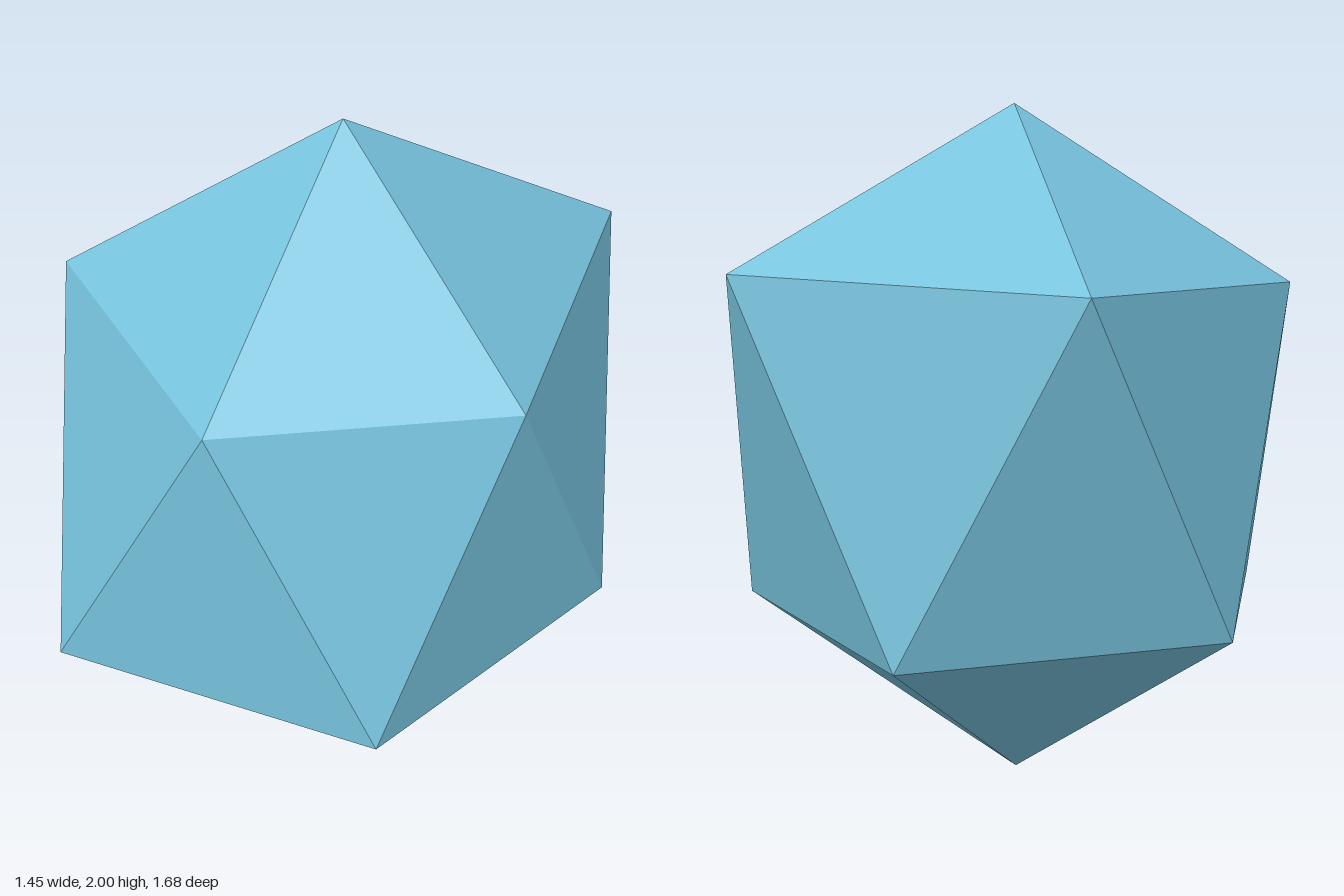
import * as THREE from 'three';

export function createModel() {
  const group = new THREE.Group();
  const stoneBlue = new THREE.MeshStandardMaterial({ color: 0x76c2dc });
  stoneBlue.name = 'stoneBlue';
  stoneBlue.flatShading = true;

  // Two uneven five-point rings between a top and a bottom tip
  const top = [0.05, 2, -0.02];
  const bottom = [0.05, 0, -0.02];
  const upper = [
    [0.72, 1.43, -0.02], [0.265, 1.44, 0.645], [-0.59, 1.5, 0.445],
    [-0.615, 1.52, -0.505], [0.32, 1.55, -0.845],
  ];
  const lower = [
    [0.7, 0.55, 0.455], [-0.23, 0.49, 0.84], [-0.725, 0.57, -0.02],
    [-0.195, 0.56, -0.77], [0.705, 0.545, -0.5],
  ];

  // Cap, zigzag band and base, one fifth at a time
  const corners = [];
  for (let i = 0; i < 5; i++) {
    const j = (i + 1) % 5;
    corners.push(
      top, upper[j], upper[i],
      upper[j], lower[i], upper[i],
      lower[i], upper[j], lower[j],
      bottom, lower[i], lower[j],
    );
  }
  const geometry = new THREE.BufferGeometry();
  geometry.setAttribute('position', new THREE.Float32BufferAttribute(corners.flat(), 3));
  geometry.computeVertexNormals();

  const rock = new THREE.Mesh(geometry, stoneBlue);
  rock.name = 'facetedRock';
  group.add(rock);
  return group;
}
